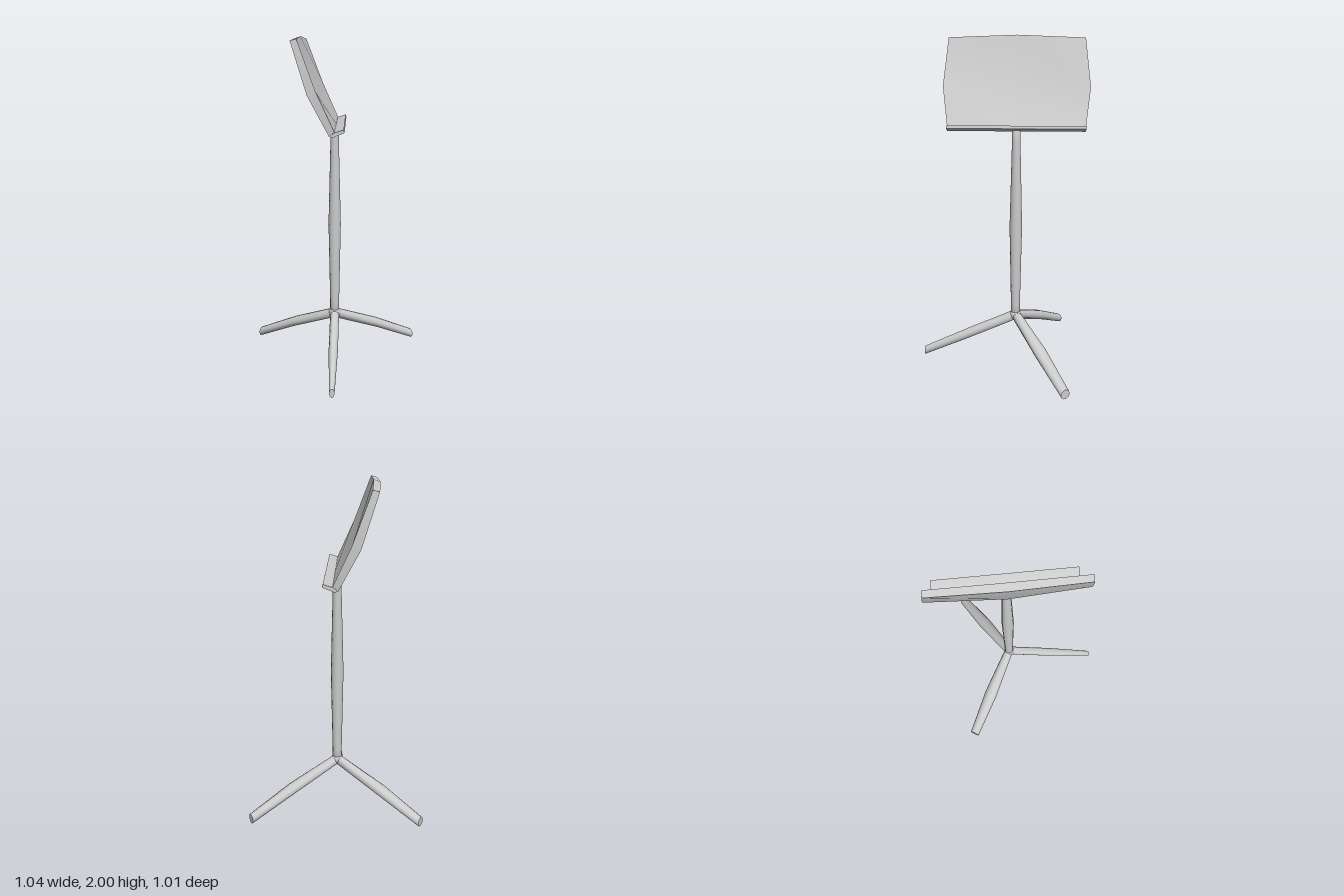
import * as THREE from 'three';
import { toCreasedNormals } from 'three/addons/utils/BufferGeometryUtils.js';

const material = new THREE.MeshStandardMaterial({ color: 0xcccccc });
const POLE_Z = -0.075;

// Skin a series of equal-sized rings (each counter-clockwise about the travel direction) and cap both ends
function loft(rings, crease) {
  const n = rings[0].length;
  const index = [];
  for (let i = 0; i < rings.length - 1; i++) {
    for (let j = 0; j < n; j++) {
      const k = (j + 1) % n;
      const a = i * n + j, b = i * n + k;
      index.push(a, b, b + n, a, b + n, a + n);
    }
  }
  const last = (rings.length - 1) * n;
  for (let j = 1; j < n - 1; j++) {
    index.push(0, j + 1, j, last, last + j, last + j + 1);
  }
  const geometry = new THREE.BufferGeometry();
  geometry.setAttribute('position', new THREE.Float32BufferAttribute(rings.flat(2), 3));
  geometry.setIndex(index);
  return toCreasedNormals(geometry, crease);
}

function part(name, geometry) {
  const mesh = new THREE.Mesh(geometry, material);
  mesh.name = name;
  return mesh;
}

// Leg running outward from the hub; stations are [distance, height, half width, half height]
function leg(name, angle, stations) {
  const dx = Math.sin(angle), dz = Math.cos(angle);
  const rings = stations.map(([r, y, w, h]) => {
    const ring = [];
    for (let j = 0; j < 10; j++) {
      const a = (j / 10) * Math.PI * 2;
      const s = Math.cos(a) * w;
      ring.push([dx * r + dz * s, y + Math.sin(a) * h, POLE_Z + dz * r - dx * s]);
    }
    return ring;
  });
  return part(name, loft(rings, 0.9));
}

// Dished reading desk: one slanted cross-section for each column across its width
function desk() {
  const column = (side) => {
    const edge = Math.abs(side);
    const z = POLE_Z + side * 0.405;
    const zMid = POLE_Z + side * 0.435;
    return [
      [-0.125 + 0.035 * edge, 1.71, zMid],
      [-0.2 + 0.008 * edge, 2 - 0.015 * edge, z],
      [-0.24 + 0.013 * edge, 1.985 - 0.01 * edge, z],
      [-0.162 + 0.025 * edge, 1.69, zMid],
      [-0.02, 1.467, z],
      [0.01, 1.49, z],
    ];
  };
  return part('desk', loft([-1, 0, 1].map(column), 0.7));
}

// Narrow ledge along the bottom of the desk
function ledge() {
  const profile = [[-0.02, 1.467], [0, 1.46], [0.065, 1.487], [0.061, 1.504], [0.01, 1.488]];
  const rings = [-1, 1].map((s) => profile.map(([x, y]) => [x, y, POLE_Z + s * 0.405]));
  return part('ledge', loft(rings, 0.7));
}

export function createModel() {
  const group = new THREE.Group();
  group.name = 'musicStand';

  // Pole swelling gently at mid height
  const profile = [[0, 0.27], [0.029, 0.28], [0.028, 0.36], [0.038, 0.87], [0.025, 1.4], [0.024, 1.475], [0, 1.48]]
    .map(([r, y]) => new THREE.Vector2(r, y));
  const pole = part('pole', new THREE.LatheGeometry(profile, 12));
  pole.position.z = POLE_Z;
  group.add(pole);

  // Hub joining the pole and legs
  const hub = part('hub', new THREE.SphereGeometry(0.037, 14, 10));
  hub.position.set(0, 0.29, POLE_Z);
  group.add(hub);

  // Tripod: one slim front leg and a mirrored pair of broader rear legs
  group.add(leg('frontLeg', 0, [
    [0, 0.29, 0.028, 0.033], [0.29, 0.16, 0.028, 0.033], [0.58, 0.03, 0.016, 0.028],
  ]));
  const rearAngle = Math.atan2(0.507, -0.295);
  for (const side of [1, -1]) {
    group.add(leg(side > 0 ? 'rearLegLeft' : 'rearLegRight', side * rearAngle, [
      [0, 0.29, 0.028, 0.033], [0.31, 0.163, 0.042, 0.033], [0.587, 0.03, 0.03, 0.03],
    ]));
  }

  group.add(desk(), ledge());
  return group;
}
